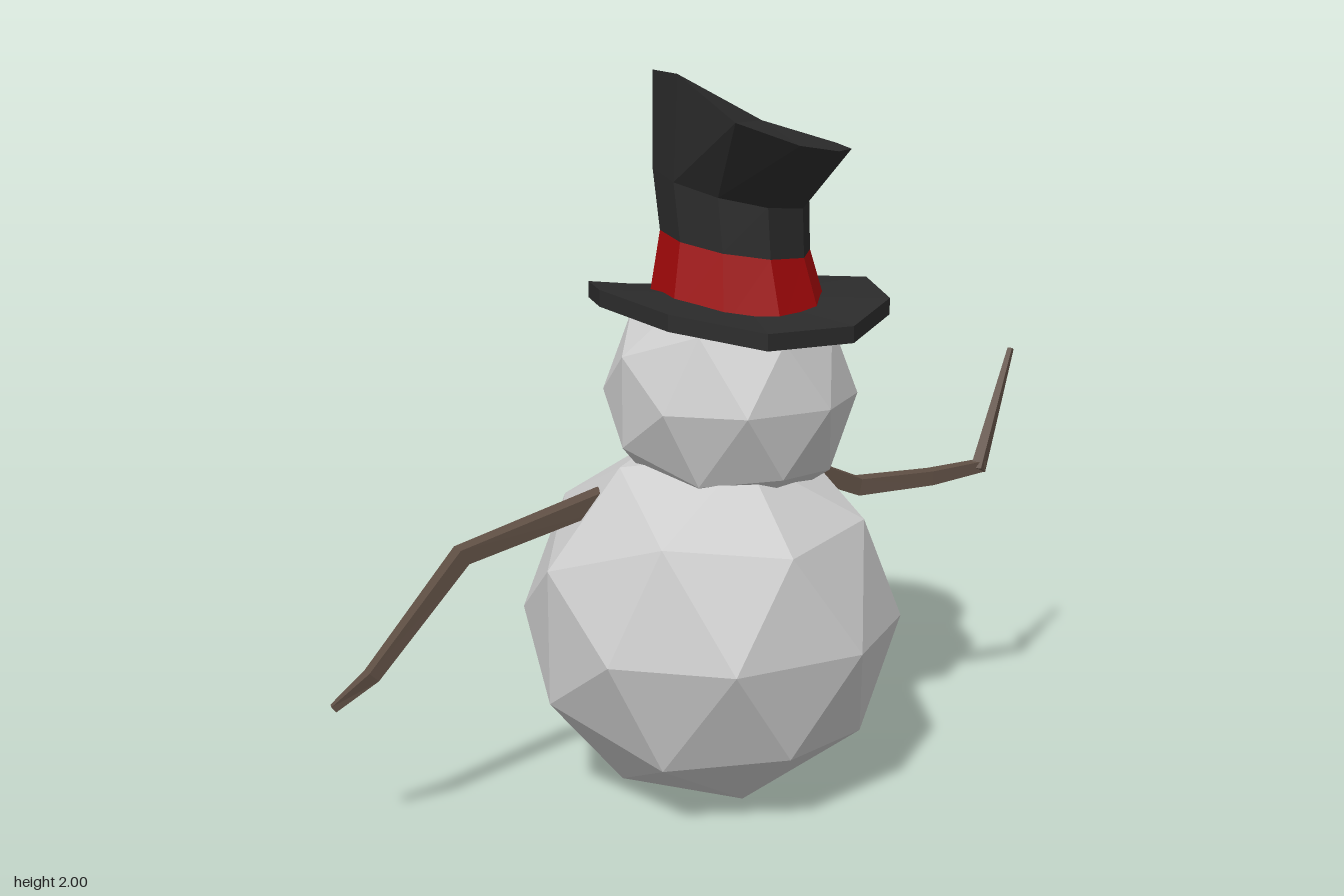
import * as THREE from 'three';
import { ConvexGeometry } from 'three/addons/geometries/ConvexGeometry.js';

const V = (p) => new THREE.Vector3(...p);
const mat = (color) => new THREE.MeshStandardMaterial({ color, flatShading: true });
const SNOW = mat(0xcccccc), FELT = mat(0x2b2b2b), RED = mat(0xa00809);
const WOOD = mat(0x5f4f44), CARROT = mat(0xd9480f), COAL = mat(0x2a2a2c);
const DEG = Math.PI / 180;

// Skin between closed rings of points, with fan caps at both ends
function loft(rings) {
  const pos = [];
  const tri = (...pts) => pts.forEach((p) => pos.push(p.x, p.y, p.z));
  const n = rings[0].length;
  const mid = (r) => r.reduce((s, p) => s.add(p), new THREE.Vector3()).divideScalar(n);
  const first = rings[0], last = rings[rings.length - 1];
  const c0 = mid(first), c1 = mid(last);
  for (let j = 0; j < n; j++) {
    const k = (j + 1) % n;
    for (let i = 0; i < rings.length - 1; i++) {
      tri(rings[i][j], rings[i][k], rings[i + 1][k]);
      tri(rings[i][j], rings[i + 1][k], rings[i + 1][j]);
    }
    tri(c0, first[k], first[j]);
    tri(c1, last[j], last[k]);
  }
  const g = new THREE.BufferGeometry();
  g.setAttribute('position', new THREE.Float32BufferAttribute(pos, 3));
  g.computeVertexNormals();
  return g;
}

// Four-sided tapering limb through a few points
function limb(points, radii) {
  const pts = points.map(V);
  const up = new THREE.Vector3(0, 1, 0);
  return loft(pts.map((p, i) => {
    const t = pts[Math.min(i + 1, pts.length - 1)].clone().sub(pts[Math.max(i - 1, 0)]).normalize();
    const u = up.clone().cross(t).normalize();
    const v = t.clone().cross(u);
    return [0, 1, 2, 3].map((k) => {
      const a = (k + 0.5) * Math.PI / 2;
      return p.clone().addScaledVector(u, radii[i] * Math.cos(a)).addScaledVector(v, radii[i] * Math.sin(a));
    });
  }));
}

// Sixty-faced ball: a dodecahedron with a raised point on each face, cut flat above a height
function ball(r, top = r) {
  const spikes = new THREE.IcosahedronGeometry(r, 0).rotateY(50 * DEG);
  const corners = new THREE.DodecahedronGeometry(r, 0).rotateY(140 * DEG);
  const unique = new Map();
  for (const g of [spikes, corners]) {
    const p = g.attributes.position;
    for (let i = 0; i < p.count; i++) {
      const v = new THREE.Vector3().fromBufferAttribute(p, i);
      v.y = Math.min(v.y, top);
      unique.set(v.toArray().map((c) => Math.round(c * 1e4)).join(), v);
    }
  }
  return new ConvexGeometry([...unique.values()]);
}

// Ten-sided hat ring that leans down toward +x
function hatRing(cx, cz, r, y, slope) {
  return Array.from({ length: 10 }, (_, i) => {
    const a = (-24 + 36 * i) * DEG;
    const x = cx + r * Math.sin(a);
    return new THREE.Vector3(x, y - slope * (x - 0.1), cz + r * Math.cos(a));
  });
}

// Brim curls up at the sides and dips at face and back
function brimGeometry() {
  const g = new THREE.CylinderGeometry(0.415, 0.415, 0.045, 10);
  g.rotateY(-4 * DEG);
  const p = g.attributes.position;
  for (let i = 0; i < p.count; i++) {
    const s = (p.getZ(i) - p.getX(i)) / 0.594, f = (p.getX(i) + p.getZ(i)) / 0.594;
    p.setY(i, p.getY(i) + 0.035 * (s * s - f * f) + 0.015 * s);
  }
  g.translate(0.1, 1.37, -0.05);
  g.computeVertexNormals();
  return g;
}

export function createModel() {
  const model = new THREE.Group();
  const add = (name, geometry, material, parent = model) => {
    const m = new THREE.Mesh(geometry, material);
    m.name = name;
    parent.add(m);
    return m;
  };
  const group = (name) => {
    const g = new THREE.Group();
    g.name = name;
    model.add(g);
    return g;
  };

  // Snow balls, the head flattened under the hat
  add('body', ball(0.533), SNOW).position.set(0.05, 0.498, 0.016);
  add('head', ball(0.351, 0.235), SNOW).position.set(0.088, 1.13, -0.025);

  // Hat: brim, band and crooked crown
  const hat = group('hat');
  const bandTop = hatRing(0.095, -0.045, 0.206, 1.545, 0.17);
  add('brim', brimGeometry(), FELT, hat);
  add('hatBand', loft([hatRing(0.105, -0.05, 0.25, 1.355, 0.1), bandTop]), RED, hat);
  const crownTop = [
    [0.02, 2, 0.18], [0.22, 1.89, 0.28], [0.36, 1.83, 0.19], [0.4, 1.8, 0], [0.38, 1.79, -0.17],
    [0.29, 1.79, -0.31], [0.16, 1.8, -0.365], [0, 1.84, -0.33], [-0.11, 1.93, -0.17], [-0.11, 2, 0.04],
  ].map(V);
  add('crown', loft([bandTop, hatRing(0.08, -0.052, 0.214, 1.69, 0.25), crownTop]), FELT, hat);

  // Face and buttons
  add('nose', limb([[-0.13, 1.09, -0.22], [-0.22, 1.06, -0.3], [-0.35, 1.01, -0.41], [-0.455, 0.945, -0.485]],
    [0.05, 0.045, 0.028, 0.013]), CARROT);
  const lumps = {
    leftEye: [-0.05, 1.25, -0.32], rightEye: [-0.2, 1.25, -0.13],
    topButton: [-0.295, 0.78, -0.265], middleButton: [-0.335, 0.66, -0.3], bottomButton: [-0.345, 0.515, -0.315],
  };
  for (const [name, p] of Object.entries(lumps)) add(name, ball(0.043), COAL).position.set(...p);

  // Stick arms, one of them forked
  add('bentArm', limb([[-0.18, 0.86, 0.23], [-0.45, 0.755, 0.54], [-0.6, 0.475, 0.765], [-0.68, 0.395, 0.83]],
    [0.038, 0.033, 0.025, 0.014]), WOOD);
  const forked = group('forkedArm');
  add('branch', limb([[0.2, 0.87, -0.26], [0.34, 0.785, -0.41], [0.52, 0.795, -0.55], [0.645, 0.815, -0.66]],
    [0.04, 0.035, 0.03, 0.023]), WOOD, forked);
  add('longTwig', limb([[0.64, 0.805, -0.645], [0.68, 1.14, -0.835]], [0.024, 0.01]), WOOD, forked);
  add('shortTwig', limb([[0.645, 0.815, -0.65], [0.622, 0.828, -0.79]], [0.022, 0.011]), WOOD, forked);

  return model;
}
